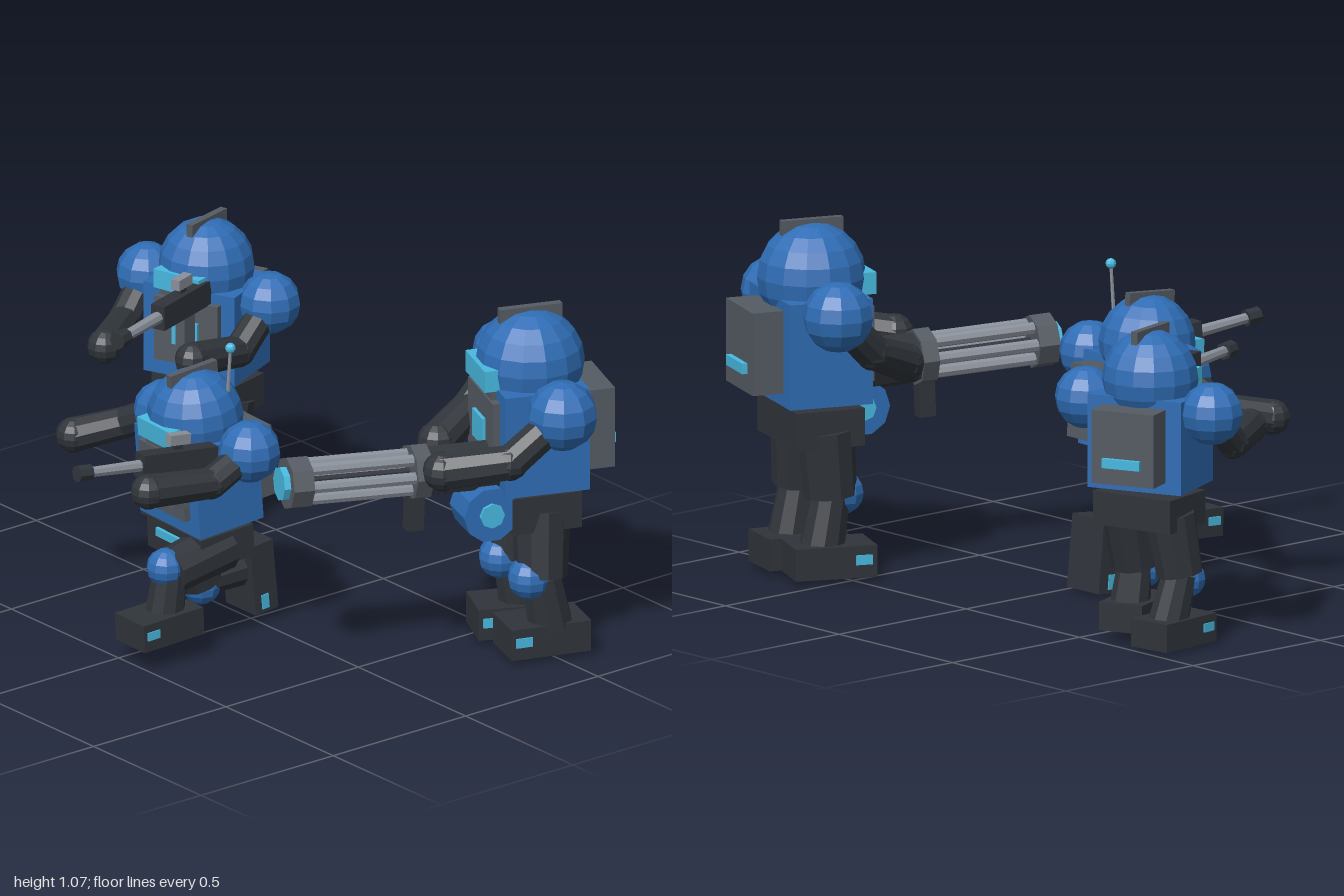
import * as THREE from 'three';

const mat = (color) => new THREE.MeshStandardMaterial({ color, flatShading: true });
const BLUE = mat(0x2f6db5), DARK = mat(0x30353b), GREY = mat(0x555b63), STEEL = mat(0x8a909a), CYAN = mat(0x48b9e0);

function add(parent, name, geo, material, pos = [0, 0, 0], rot = [0, 0, 0]) {
  const m = new THREE.Mesh(geo, material);
  m.name = name;
  m.position.set(...pos);
  m.rotation.set(...rot, 'YXZ');
  parent.add(m);
  return m;
}
const box = (w, h, d) => new THREE.BoxGeometry(w, h, d);
const ball = (r, w = 10, h = 8) => new THREE.SphereGeometry(r, w, h);

function group(parent, name, pos, rot = [0, 0, 0], scale = 1) {
  const g = new THREE.Group();
  g.name = name;
  g.position.set(...pos);
  g.rotation.set(...rot, 'YXZ');
  g.scale.setScalar(scale);
  parent.add(g);
  return g;
}

// Tapered cylinder running from a to b
function segment(parent, name, a, b, ra, rb, material, sides = 10) {
  const p = new THREE.Vector3(...a), q = new THREE.Vector3(...b);
  const dir = q.clone().sub(p);
  const m = add(parent, name, new THREE.CylinderGeometry(rb, ra, dir.length(), sides), material);
  m.position.copy(p).add(q).multiplyScalar(0.5);
  m.quaternion.setFromUnitVectors(new THREE.Vector3(0, 1, 0), dir.normalize());
  return m;
}

// Chest, backpack, neck and helmet; origin at the bottom of the chest
function upperBody(parent, { pos, rot, headYaw = 0, scale = 1, antenna }) {
  const t = group(parent, 'torso', pos, rot, scale);
  add(t, 'chest', box(0.3, 0.28, 0.23), BLUE, [0, 0.14, 0]);
  add(t, 'chestPlate', box(0.21, 0.2, 0.03), GREY, [0, 0.15, 0.12]);
  add(t, 'chestLight', box(0.085, 0.075, 0.02), CYAN, [0, 0.15, 0.135]);
  add(t, 'backpack', box(0.2, 0.22, 0.09), GREY, [0, 0.145, -0.155]);
  add(t, 'backpackLight', box(0.12, 0.028, 0.02), CYAN, [0, 0.1, -0.205]);
  add(t, 'neck', new THREE.CylinderGeometry(0.09, 0.11, 0.06, 10), DARK, [0, 0.28, 0]);
  const head = group(t, 'head', [0, 0.32, 0], [0, headYaw, 0]);
  add(head, 'helmet', ball(0.143, 14, 10), BLUE);
  add(head, 'visor', box(0.165, 0.058, 0.05), CYAN, [0, -0.015, 0.125]);
  add(head, 'chinGuard', box(0.15, 0.03, 0.05), GREY, [0, -0.06, 0.105]);
  add(head, 'crest', box(0.022, 0.04, 0.17), GREY, [0, 0.132, 0]);
  if (antenna) {
    segment(head, 'antenna', [0.09, 0.08, -0.06], [0.097, 0.215, -0.075], 0.006, 0.005, STEEL, 6);
    add(head, 'antennaTip', ball(0.016, 8, 6), CYAN, [0.097, 0.222, -0.076]);
  }
}

// Shoulder ball, two arm sections and a rounded hand
function arm(parent, name, [shoulder, elbow, hand], s = 1) {
  const g = group(parent, name, [0, 0, 0]);
  add(g, 'shoulder', ball(0.093 * s), BLUE, shoulder);
  segment(g, 'upperArm', shoulder, elbow, 0.045 * s, 0.047 * s, DARK);
  add(g, 'elbow', ball(0.048 * s), DARK, elbow);
  segment(g, 'forearm', elbow, hand, 0.047 * s, 0.052 * s, DARK);
  add(g, 'hand', ball(0.053 * s), DARK, hand);
}

// Thigh, knee pad, shin and a block foot with a light near the toe
function leg(parent, name, { hip, knee, ankle, pad, foot, footRot }, s = 1) {
  const g = group(parent, name, [0, 0, 0]);
  segment(g, 'thigh', hip, knee, 0.076 * s, 0.07 * s, DARK);
  add(g, 'kneePad', ball(0.058 * s), BLUE, pad);
  segment(g, 'shin', knee, ankle, 0.052 * s, 0.06 * s, DARK);
  const f = group(g, 'foot', foot, footRot, s);
  add(f, 'boot', box(0.14, 0.085, 0.22), DARK);
  add(f, 'toeLight', box(0.147, 0.026, 0.045), CYAN, [0, 0.005, 0.075]);
}

function pelvis(parent, pos, rot, s = 1) {
  const g = group(parent, 'pelvis', pos, rot, s);
  add(g, 'hips', box(0.27, 0.1, 0.19), DARK);
  add(g, 'beltLight', box(0.16, 0.026, 0.02), CYAN, [0, 0.015, 0.095]);
}

// Rifle pointing along +z
function rifle(parent, pos, rot) {
  const g = group(parent, 'rifle', pos, rot);
  add(g, 'receiver', box(0.048, 0.075, 0.26), DARK);
  add(g, 'scope', box(0.03, 0.032, 0.07), STEEL, [0, 0.07, 0]);
  add(g, 'scopeMount', box(0.014, 0.03, 0.03), DARK, [0, 0.045, 0]);
  add(g, 'magazine', box(0.035, 0.12, 0.05), GREY, [0, -0.085, -0.02], [0, -0.1, 0]);
  segment(g, 'barrel', [0, 0, 0.12], [0, 0, 0.32], 0.019, 0.016, STEEL, 8);
  segment(g, 'muzzle', [0, 0, 0.305], [0, 0, 0.35], 0.026, 0.026, DARK, 8);
}

// Rotary cannon pointing along +z, origin at the rear of the barrels
function cannon(parent, pos, rot) {
  const g = group(parent, 'rotaryCannon', pos, rot);
  segment(g, 'housing', [0, 0, -0.24], [0, 0, 0.02], 0.08, 0.075, DARK, 8);
  segment(g, 'rearRing', [0, 0, 0], [0, 0, 0.05], 0.085, 0.085, GREY, 8);
  for (let i = 0; i < 6; i++) {
    const a = (i / 6) * Math.PI * 2, x = Math.cos(a) * 0.053, y = Math.sin(a) * 0.053;
    segment(g, 'barrel', [x, y, 0.03], [x, y, 0.4], 0.019, 0.019, STEEL, 8);
  }
  segment(g, 'spindle', [0, 0, 0.03], [0, 0, 0.4], 0.014, 0.014, DARK, 6);
  segment(g, 'muzzleRing', [0, 0, 0.37], [0, 0, 0.435], 0.08, 0.08, GREY, 8);
  segment(g, 'muzzleLight', [0, 0, 0.42], [0, 0, 0.455], 0.052, 0.052, CYAN, 8);
  add(g, 'foregrip', box(0.045, 0.12, 0.05), DARK, [0, -0.12, 0.03]);
}

export function createModel() {
  const model = new THREE.Group();
  model.name = 'robotSquad';

  // Standing rifle robot
  const a = group(model, 'standingRobot', [0, 0, 0]);
  upperBody(a, { pos: [-0.7, 0.48, -0.4], rot: [0, 0.42, 0], headYaw: -0.17 });
  arm(a, 'rightArm', [[-0.915, 0.72, -0.35], [-0.885, 0.61, -0.24], [-0.755, 0.61, -0.06]]);
  arm(a, 'leftArm', [[-0.505, 0.72, -0.48], [-0.475, 0.61, -0.34], [-0.44, 0.645, -0.135]]);
  pelvis(a, [-0.695, 0.41, -0.4], [0, 0.26, 0]);
  leg(a, 'rightLeg', { hip: [-0.775, 0.4, -0.39], knee: [-0.79, 0.22, -0.365], ankle: [-0.78, 0.08, -0.4],
    pad: [-0.785, 0.2, -0.335], foot: [-0.775, 0.05, -0.375], footRot: [0, 0.12, 0] });
  leg(a, 'leftLeg', { hip: [-0.62, 0.4, -0.42], knee: [-0.61, 0.22, -0.38], ankle: [-0.61, 0.1, -0.4],
    pad: [-0.605, 0.2, -0.345], foot: [-0.6, 0.075, -0.365], footRot: [0, 0.4, 0] });
  rifle(a, [-0.57, 0.765, -0.2], [0, 0.32, 0]);

  // Kneeling rifle robot
  const b = group(model, 'kneelingRobot', [0, 0, 0]);
  upperBody(b, { pos: [0, 0.375, 0.185], rot: [0.08, -0.05, 0], antenna: true });
  arm(b, 'rightArm', [[-0.2, 0.635, 0.165], [-0.355, 0.555, 0.19], [-0.432, 0.525, 0.32]]);
  arm(b, 'leftArm', [[0.21, 0.635, 0.175], [0.21, 0.57, 0.32], [0.175, 0.585, 0.53]]);
  pelvis(b, [0, 0.31, 0.19], [0.06, -0.05, 0]);
  leg(b, 'leftLeg', { hip: [0.08, 0.3, 0.17], knee: [0.08, 0.265, 0.37], ankle: [0.075, 0.12, 0.39],
    pad: [0.078, 0.28, 0.385], foot: [0.08, 0.11, 0.41], footRot: [0.04, -0.03, 0] });
  leg(b, 'rightLeg', { hip: [-0.085, 0.31, 0.21], knee: [-0.09, 0.125, 0.12], ankle: [-0.08, 0.135, -0.04],
    pad: [-0.09, 0.105, 0.115], foot: [-0.075, 0.112, -0.055], footRot: [1.67, 0, 0] });
  rifle(b, [0.145, 0.64, 0.4], [-0.1, -0.1, 0]);

  // Heavy robot with rotary cannon
  const c = group(model, 'heavyRobot', [0, 0, 0]);
  const s = 1.13;
  upperBody(c, { pos: [0.665, 0.53, -0.515], rot: [0, -0.37, 0], scale: s });
  arm(c, 'rightArm', [[0.435, 0.82, -0.615], [0.445, 0.69, -0.47], [0.485, 0.63, -0.31]], s);
  arm(c, 'leftArm', [[0.89, 0.8, -0.455], [0.85, 0.68, -0.29], [0.72, 0.65, -0.14]], s);
  pelvis(c, [0.66, 0.46, -0.52], [0, -0.34, 0], s);
  leg(c, 'rightLeg', { hip: [0.575, 0.45, -0.54], knee: [0.575, 0.25, -0.52], ankle: [0.58, 0.09, -0.55],
    pad: [0.57, 0.25, -0.48], foot: [0.57, 0.06, -0.53], footRot: [0, -0.45, 0] }, s);
  leg(c, 'leftLeg', { hip: [0.735, 0.45, -0.5], knee: [0.76, 0.25, -0.48], ankle: [0.765, 0.09, -0.51],
    pad: [0.755, 0.25, -0.44], foot: [0.74, 0.06, -0.5], footRot: [0, -0.33, 0] }, s);
  cannon(c, [0.595, 0.605, -0.175], [-0.04, -0.34, 0]);

  // Ammunition drum at the waist
  const drum = group(c, 'ammoDrum', [0.68, 0.475, -0.33], [0, -0.34, 0]);
  add(drum, 'drum', new THREE.CylinderGeometry(0.085, 0.085, 0.13, 10).rotateZ(Math.PI / 2), BLUE);
  add(drum, 'drumLight', new THREE.CylinderGeometry(0.038, 0.038, 0.15, 8).rotateZ(Math.PI / 2), CYAN);
  return model;
}
